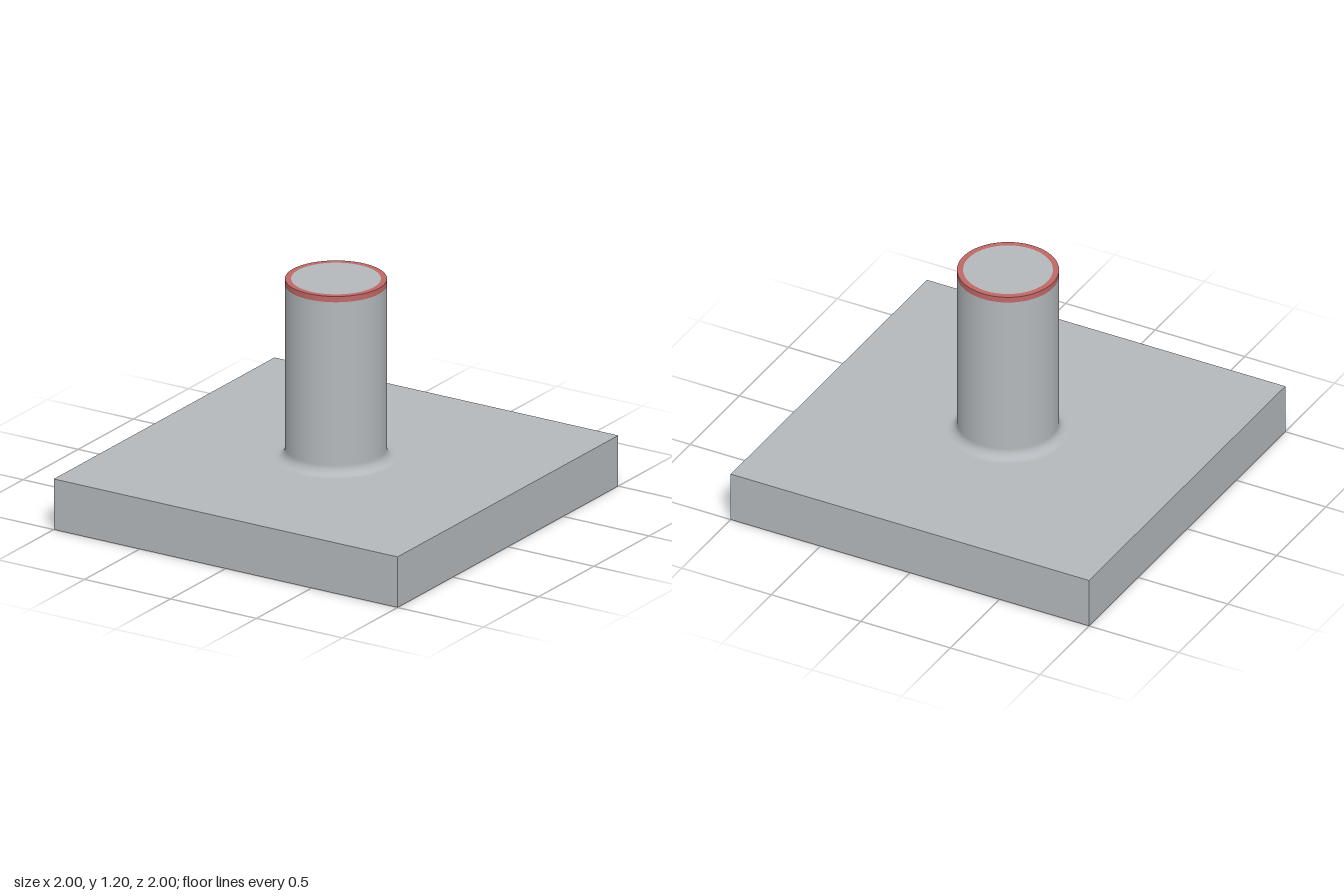
import * as THREE from 'three';

const PLATE_TOP = 0.265, TOP = 1.2, R = 0.25, FILLET = 0.05, BAND = 0.03, SEG = 96;

export function createModel() {
  const grey = new THREE.MeshStandardMaterial({ color: 0xb4b8bc });
  grey.name = 'grey metal';
  const red = new THREE.MeshStandardMaterial({ color: 0xc06866 });
  red.name = 'red marking';

  const model = new THREE.Group();
  model.name = 'postOnPlate';
  const add = (name, geometry, material, y = 0) => {
    const mesh = new THREE.Mesh(geometry, material);
    mesh.name = name;
    mesh.position.y = y;
    model.add(mesh);
  };

  // Square base plate
  add('basePlate', new THREE.BoxGeometry(2, PLATE_TOP, 2), grey, PLATE_TOP / 2);

  // Round post, flaring into the plate with a concave fillet
  const profile = [];
  for (let i = 0; i <= 12; i++) {
    const a = (i / 12) * Math.PI / 2;
    profile.push(new THREE.Vector2(
      R + FILLET - FILLET * Math.sin(a),
      PLATE_TOP + FILLET - FILLET * Math.cos(a)));
  }
  profile.push(new THREE.Vector2(R, PLATE_TOP + FILLET + 0.01));
  profile.push(new THREE.Vector2(R, TOP - BAND));
  add('post', new THREE.LatheGeometry(profile, SEG), grey);

  // Red band around the rim, on the side and on the top
  add('rimSide', new THREE.CylinderGeometry(R, R, BAND, SEG, 1, true), red, TOP - BAND / 2);
  add('rimTop', new THREE.RingGeometry(R - BAND, R, SEG).rotateX(-Math.PI / 2), red, TOP);

  // Flat end face inside the band
  add('endFace', new THREE.CircleGeometry(R - BAND, SEG).rotateX(-Math.PI / 2), grey, TOP);

  return model;
}
